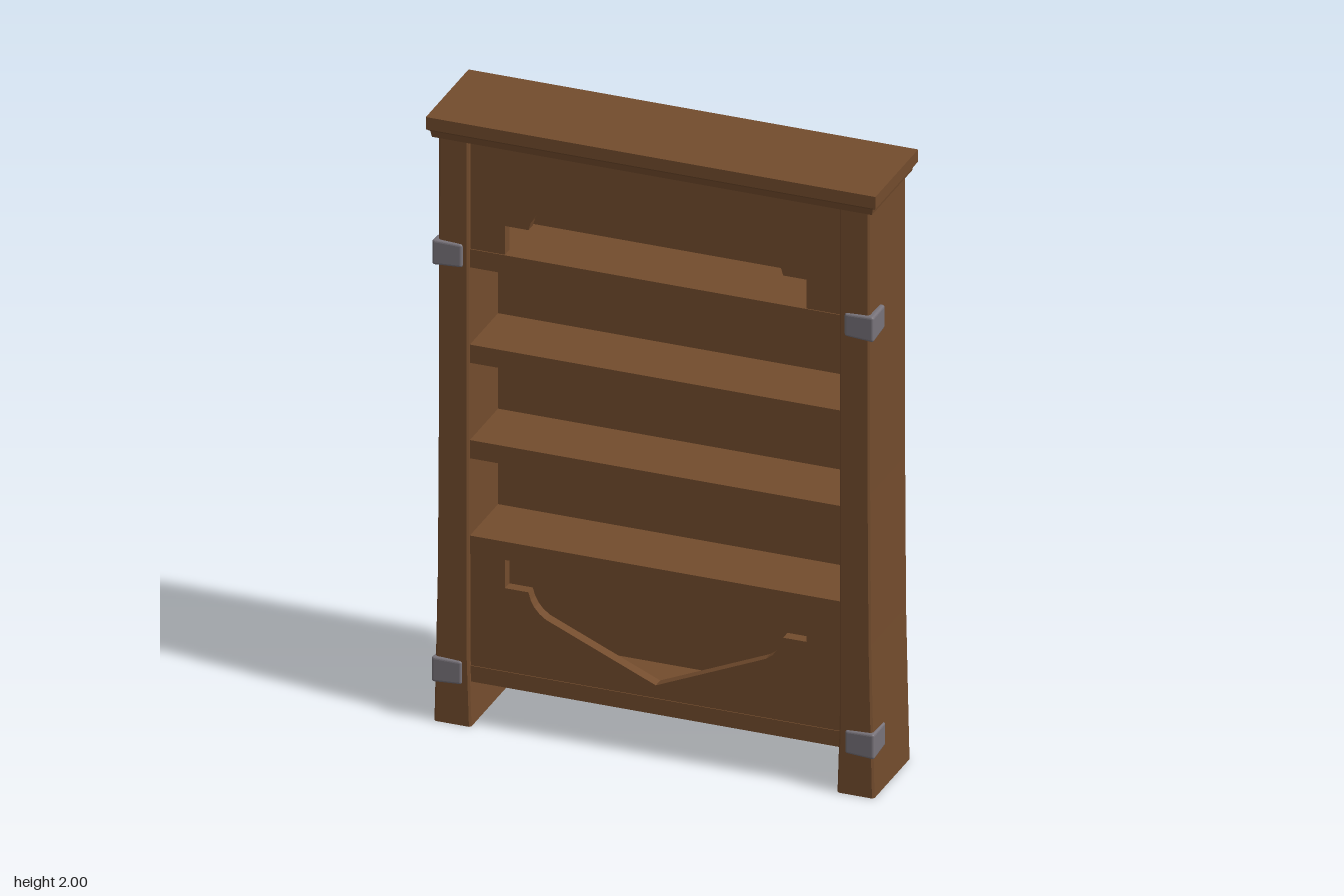
import * as THREE from 'three';
import { RoundedBoxGeometry } from 'three/addons/geometries/RoundedBoxGeometry.js';

// double-sided because the hollow feet are open underneath
const wood = new THREE.MeshStandardMaterial({ name: 'brownWood', color: 0x734c2d, side: THREE.DoubleSide });
const iron = new THREE.MeshStandardMaterial({ name: 'greyIron', color: 0x78737a });

// Flat-sided loft through bevelled rectangles: [y, x0, x1, z0, z1]
function loft(sections, bevel, capBottom, capTop) {
  const c = bevel;
  const rings = sections.map(([y, x0, x1, z0, z1]) => [
    [x1, z0 + c], [x1, z1 - c], [x1 - c, z1], [x0 + c, z1],
    [x0, z1 - c], [x0, z0 + c], [x0 + c, z0], [x1 - c, z0],
  ].map(([x, z]) => [x, y, z]));
  const out = [];
  for (let r = 0; r + 1 < rings.length; r++) {
    for (let i = 0; i < 8; i++) {
      const j = (i + 1) % 8;
      const a = rings[r][i], b = rings[r][j], a2 = rings[r + 1][i], b2 = rings[r + 1][j];
      out.push(...a, ...a2, ...b, ...b, ...a2, ...b2);
    }
  }
  const first = rings[0], last = rings[rings.length - 1];
  for (let i = 1; i < 7; i++) {
    if (capBottom) out.push(...first[0], ...first[i], ...first[i + 1]);
    if (capTop) out.push(...last[0], ...last[i + 1], ...last[i]);
  }
  const g = new THREE.BufferGeometry();
  g.setAttribute('position', new THREE.Float32BufferAttribute(out, 3));
  g.computeVertexNormals();
  return g;
}

// Front panel with a pointed, shouldered cut-out; dir = 1 opens down, -1 opens up
function panelGeometry(base, height, dir) {
  const y = (v) => base + dir * v;
  const s = new THREE.Shape();
  s.moveTo(-0.6, y(0));
  s.lineTo(-0.48, y(0));
  s.lineTo(-0.48, y(0.095));
  s.lineTo(-0.405, y(0.095));
  s.quadraticCurveTo(-0.395, y(0.148), -0.35, y(0.175));
  s.lineTo(0, y(0.327));
  s.lineTo(0.35, y(0.175));
  s.quadraticCurveTo(0.395, y(0.148), 0.405, y(0.095));
  s.lineTo(0.48, y(0.095));
  s.lineTo(0.48, y(0));
  s.lineTo(0.6, y(0));
  s.lineTo(0.6, y(height));
  s.lineTo(-0.6, y(height));
  s.closePath();
  const g = new THREE.ExtrudeGeometry(s, { depth: 0.035, bevelEnabled: false, curveSegments: 4 });
  g.translate(0, 0, 0.094);
  return g;
}

// Corner bracket, thickest at the corner and tapering along both arms
function bracketGeometry(side) {
  const w = 0.095, h = 0.084, d = 0.105;
  const g = new RoundedBoxGeometry(w, h, d, 2, 0.008);
  const p = g.attributes.position;
  for (let i = 0; i < p.count; i++) {
    const inward = 0.5 - (side * p.getX(i)) / w;
    const back = 0.5 - p.getZ(i) / d;
    p.setY(i, p.getY(i) * (1 - 0.1 * Math.max(inward, back)));
    p.setZ(i, p.getZ(i) - 0.004 * inward);
    p.setX(i, p.getX(i) - side * 0.004 * back);
  }
  g.computeVertexNormals();
  return g;
}

export function createModel() {
  const model = new THREE.Group();
  model.name = 'bookcase';
  const add = (name, geometry, material = wood, x = 0, y = 0, z = 0) => {
    const m = new THREE.Mesh(geometry, material);
    m.name = name;
    m.position.set(x, y, z);
    model.add(m);
    return m;
  };

  // Side posts flaring at the foot, with their iron brackets
  for (const side of [1, -1]) {
    const label = side > 0 ? 'left' : 'right';
    const profile = [[0, 0.582, 0.7], [0.22, 0.589, 0.695], [0.5, 0.59, 0.689], [1.0, 0.59, 0.686], [1.94, 0.59, 0.685]];
    const sections = profile.map(([y, a, b]) =>
      [y, Math.min(side * a, side * b), Math.max(side * a, side * b), -0.145, 0.145]);
    add(label + 'Post', loft(sections, 0.006, false, true));
    add(label + 'UpperBracket', bracketGeometry(side), iron, side * 0.655, 1.55, 0.103);
    add(label + 'LowerBracket', bracketGeometry(side), iron, side * 0.657, 0.174, 0.103);
  }

  // Stepped crown
  add('crownMoulding', loft([
    [1.933, -0.7, 0.7, -0.16, 0.16],
    [1.953, -0.704, 0.704, -0.163, 0.163],
    [1.96, -0.715, 0.715, -0.17, 0.17],
    [2, -0.715, 0.715, -0.17, 0.17],
  ], 0.0005, true, true));

  // Recessed back
  add('backPanel', new THREE.BoxGeometry(1.19, 1.79, 0.04), wood, 0, 1.04, -0.112);

  // Shelves
  for (const y of [0.595, 0.91, 1.225, 1.54]) {
    add('shelf', new THREE.BoxGeometry(1.19, 0.06, 0.225), wood, 0, y, 0.02);
  }
  add('bottomBoard', new THREE.BoxGeometry(1.19, 0.052, 0.25), wood, 0, 0.17, 0.007);

  // Cut-out front panels
  add('upperFrontPanel', panelGeometry(1.57, 0.366, 1));
  add('lowerFrontPanel', panelGeometry(0.565, 0.37, -1));

  return model;
}
